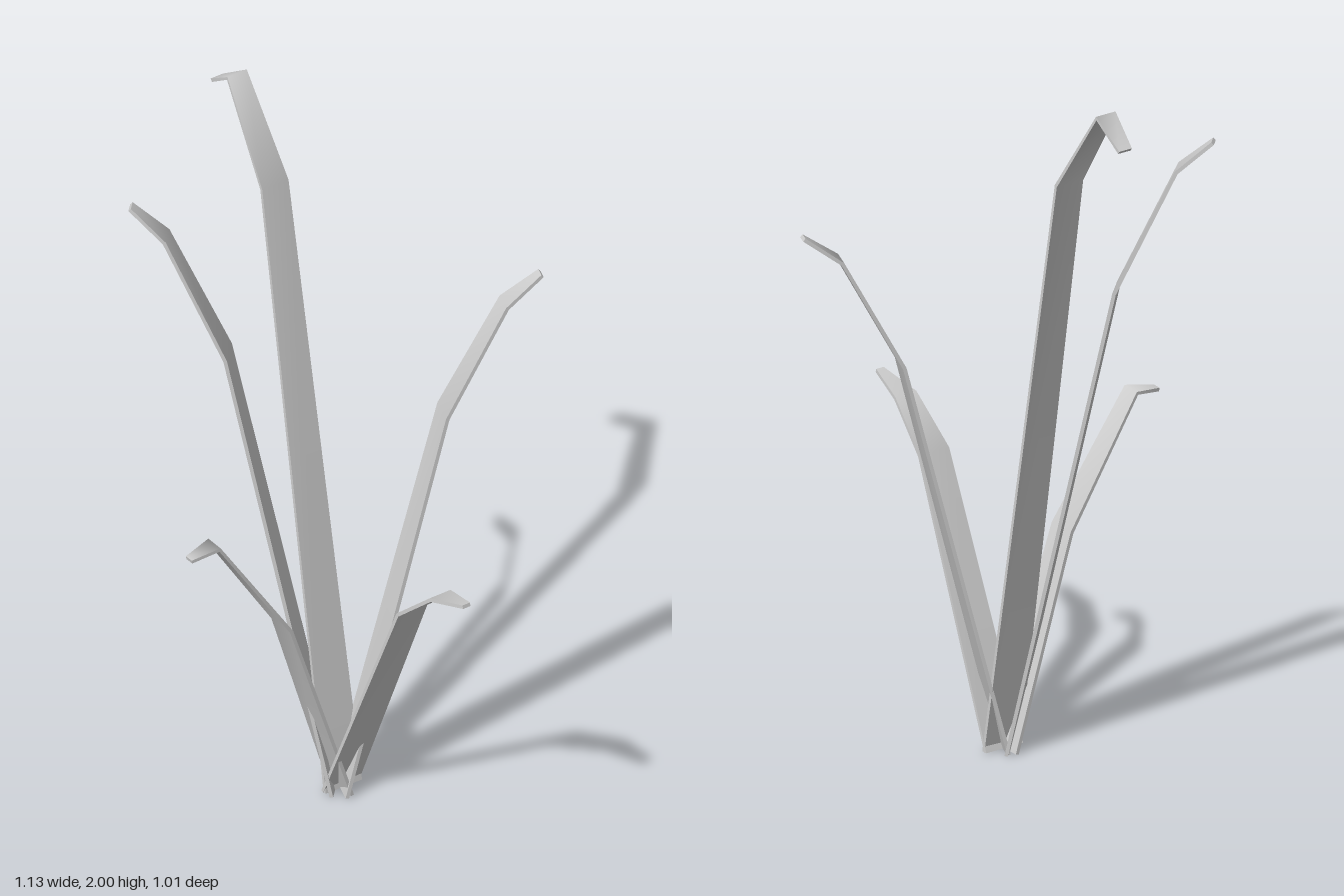
import * as THREE from 'three';

const THICKNESS = 0.01;

// A thin tapering blade. Each ring of the path is [x, y, z, halfWidth], base to tip.
function bladeGeometry(rings) {
  const pts = rings.map(([x, y, z]) => new THREE.Vector3(x, y, z));
  const base = pts[0], tip = pts[pts.length - 1];
  const side = new THREE.Vector3(tip.z - base.z, 0, base.x - tip.x).normalize();

  // four corners per ring, square to the bend of the spine
  const corners = pts.map((p, i) => {
    const t = new THREE.Vector3();
    if (i > 0) t.add(p.clone().sub(pts[i - 1]).normalize());
    if (i < pts.length - 1) t.add(pts[i + 1].clone().sub(p).normalize());
    const normal = t.normalize().cross(side);
    return [[1, 1], [-1, 1], [-1, -1], [1, -1]].map(([u, v]) => p.clone()
      .addScaledVector(side, u * rings[i][3])
      .addScaledVector(normal, v * THICKNESS / 2));
  });

  const positions = [], index = [];
  const add = (p) => positions.push(p.x, Math.max(p.y, 0), p.z) / 3 - 1;
  const quad = (a, b, c, d) => index.push(a, b, c, a, c, d);

  // four long faces, smooth along the blade and sharp at its edges
  for (let k = 0; k < 4; k++) {
    let last = null;
    for (const ring of corners) {
      const pair = [add(ring[k]), add(ring[(k + 1) % 4])];
      if (last) quad(last[0], last[1], pair[1], pair[0]);
      last = pair;
    }
  }
  // end caps
  quad(...corners[corners.length - 1].map(add));
  quad(...corners[0].slice().reverse().map(add));

  const geometry = new THREE.BufferGeometry();
  geometry.setAttribute('position', new THREE.Float32BufferAttribute(positions, 3));
  geometry.setIndex(index);
  geometry.computeVertexNormals();
  return geometry;
}

const BLADES = {
  tallLeftBlade: [
    [0.01, 0, 0.01, 0.058], [-0.30, 1.74, 0.01, 0.042],
    [-0.47, 1.995, 0.01, 0.031], [-0.565, 1.93, 0.005, 0.02]],
  lowRightBlade: [
    [0, 0, 0.01, 0.059], [0.32, 0.735, 0.008, 0.047],
    [0.45, 0.85, 0.008, 0.034], [0.565, 0.882, 0.006, 0.012]],
  shortFrontBlade: [
    [0.003, 0, 0.015, 0.058], [0.003, 0.585, 0.20, 0.043],
    [0.003, 0.925, 0.42, 0.028], [0.003, 0.91, 0.50, 0.013]],
  backBlade: [
    [0.01, 0, 0.015, 0.058], [0.10, 1.14, -0.25, 0.041],
    [0.157, 1.455, -0.405, 0.031], [0.19, 1.53, -0.5, 0.015]],
  frontLeftBlade: [
    [-0.006, 0, 0.025, 0.058], [-0.205, 1.345, 0.228, 0.043],
    [-0.315, 1.70, 0.348, 0.032], [-0.382, 1.785, 0.415, 0.016]],
};

export function createModel() {
  const model = new THREE.Group();
  model.name = 'grassTuft';
  const material = new THREE.MeshStandardMaterial({ color: 0xcccccc });
  for (const [name, rings] of Object.entries(BLADES)) {
    const blade = new THREE.Mesh(bladeGeometry(rings), material);
    blade.name = name;
    model.add(blade);
  }
  return model;
}
